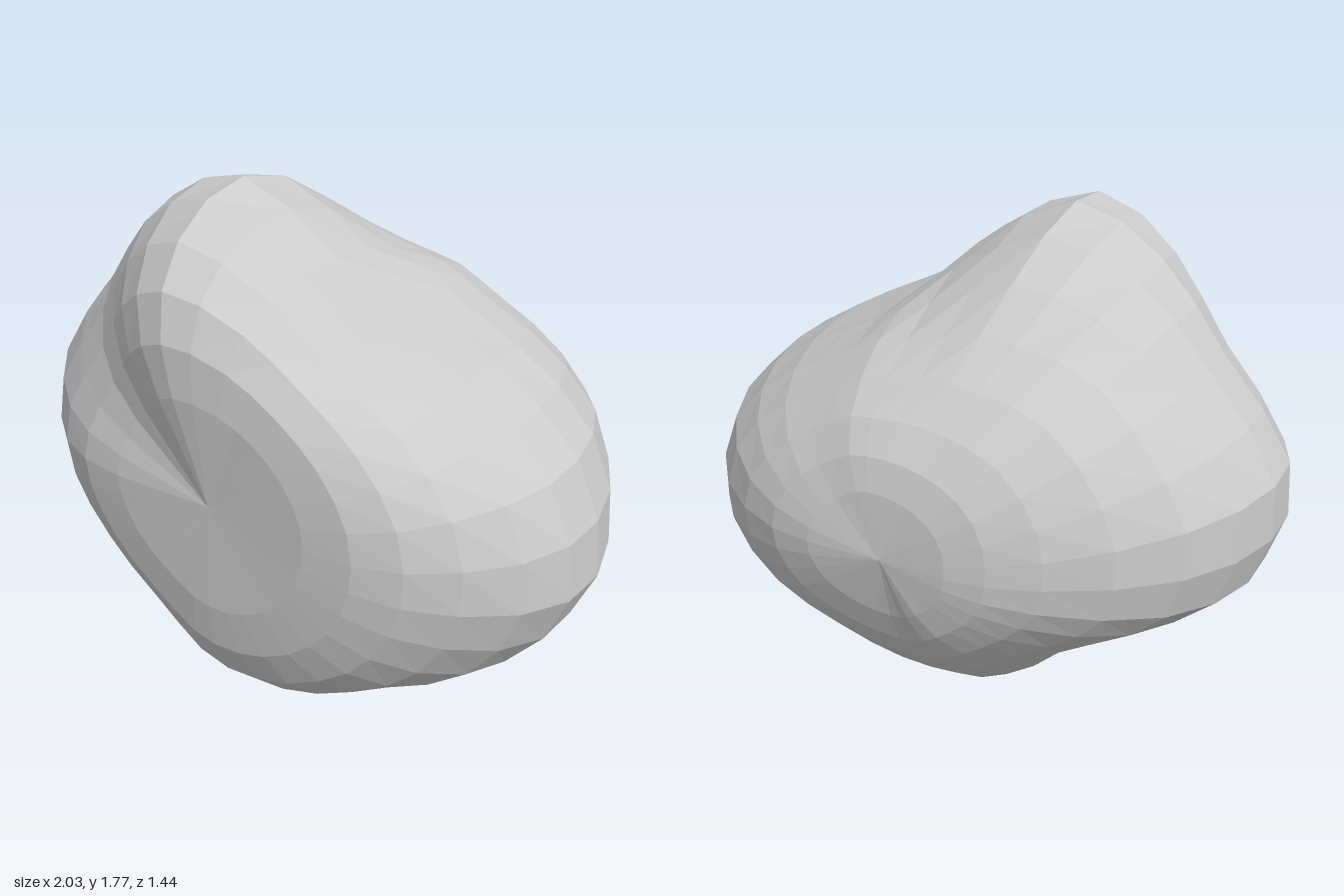
import * as THREE from 'three';

const CENTRE_Y = 0.87;
const COLUMNS = 32;
const RINGS = 16;

// Widest outline of the boulder, a smooth loop counter-clockwise from the right shoulder
const outline = new THREE.CatmullRomCurve3([
  [0.9, 1.03], [0.61, 1.27], [0.35, 1.4], [0.15, 1.58], [-0.2, 1.78], [-0.52, 1.64], [-0.75, 1.37], [-0.99, 1.04],
  [-0.94, 0.67], [-0.65, 0.44], [-0.4, 0.25], [-0.16, 0.035], [0.16, 0.01], [0.48, 0.15], [0.8, 0.33], [1, 0.65],
].map(([x, y]) => new THREE.Vector3(x, y - CENTRE_Y, 0)), true, 'catmullrom', 0.5);

// Radius of the swollen sphere from front to back at key columns,
// plus extra depth in front and behind
const stations = [0, 4, 7, 10, 13, 16];
const section = (column, swell, front, back) => ({
  column, front, back,
  reach: outline.getPoint(column / COLUMNS).length(),
  swell: new THREE.CubicInterpolant(stations, swell, 1),
});
const rightSwell = [1, 0.96, 1.02, 0.93, 0.74, 0.58];
const sections = [
  section(-1, rightSwell, 0.01, 0.01), // right side
  section(4, [1, 0.79, 0.64, 0.63, 0.6, 0.57], 0, -0.1), // hollow beside the peak
  section(8, [1, 0.99, 0.94, 0.69, 0.58, 0.55], 0.14, -0.1), // peak
  section(12, [1, 0.9, 0.92, 0.86, 0.66, 0.56], -0.13, -0.05), // front left hollow
  section(15, [1, 0.96, 1.02, 0.92, 0.63, 0.55], 0.01, -0.04), // left side
  section(20, [1, 0.86, 0.745, 0.66, 0.56, 0.54], -0.01, -0.08), // lower left hollow
  section(23, [1, 0.95, 0.885, 0.757, 0.63, 0.6], 0.02, -0.2), // base
  section(31, rightSwell, 0.01, 0.01), // right side again
];

// One point of the surface, blended between the two nearest sections
function surfacePoint(column, ring) {
  const i = sections.findIndex((s) => s.column > column || s.column === COLUMNS - 1);
  const a = sections[i - 1], b = sections[i];
  const t = THREE.MathUtils.smoothstep(column, a.column, b.column);
  const blend = (value) => THREE.MathUtils.lerp(value(a), value(b), t);

  const sin = Math.sin((ring / RINGS) * Math.PI), cos = Math.cos((ring / RINGS) * Math.PI);
  const point = outline.getPoint(column / COLUMNS);
  // rings are round near the ends and follow the outline at the middle
  const detail = (point.length() - blend((s) => s.reach)) * sin ** 4;
  point.setLength(sin * (blend((s) => s.swell.evaluate(ring)[0]) + detail));
  point.y += CENTRE_Y;
  // flattened front and back
  const depth = cos > 0 ? 0.9 - 0.23 * cos ** 4 : 0.96 - 0.24 * cos ** 4;
  point.z = cos * depth * (1 + sin * blend((s) => (cos > 0 ? s.front : s.back)));
  return point;
}

// Facets between rings, with a fan closing each end
function boulderGeometry() {
  const corners = [];
  for (let j = 0; j < COLUMNS; j++) {
    const next = (j + 1) % COLUMNS;
    for (let k = 0; k < RINGS; k++) {
      const a = surfacePoint(j, k), b = surfacePoint(j, k + 1);
      const c = surfacePoint(next, k + 1), d = surfacePoint(next, k);
      if (k < RINGS - 1) corners.push(b, c, d);
      if (k > 0) corners.push(a, b, d);
    }
  }
  const geometry = new THREE.BufferGeometry().setFromPoints(corners);
  geometry.computeVertexNormals();
  return geometry;
}

export function createModel() {
  const stone = new THREE.MeshStandardMaterial({ color: 0xcccccc, flatShading: true });
  stone.name = 'stone grey';

  const boulder = new THREE.Mesh(boulderGeometry(), stone);
  boulder.name = 'boulder';

  const group = new THREE.Group();
  group.name = 'rock';
  group.add(boulder);
  return group;
}
